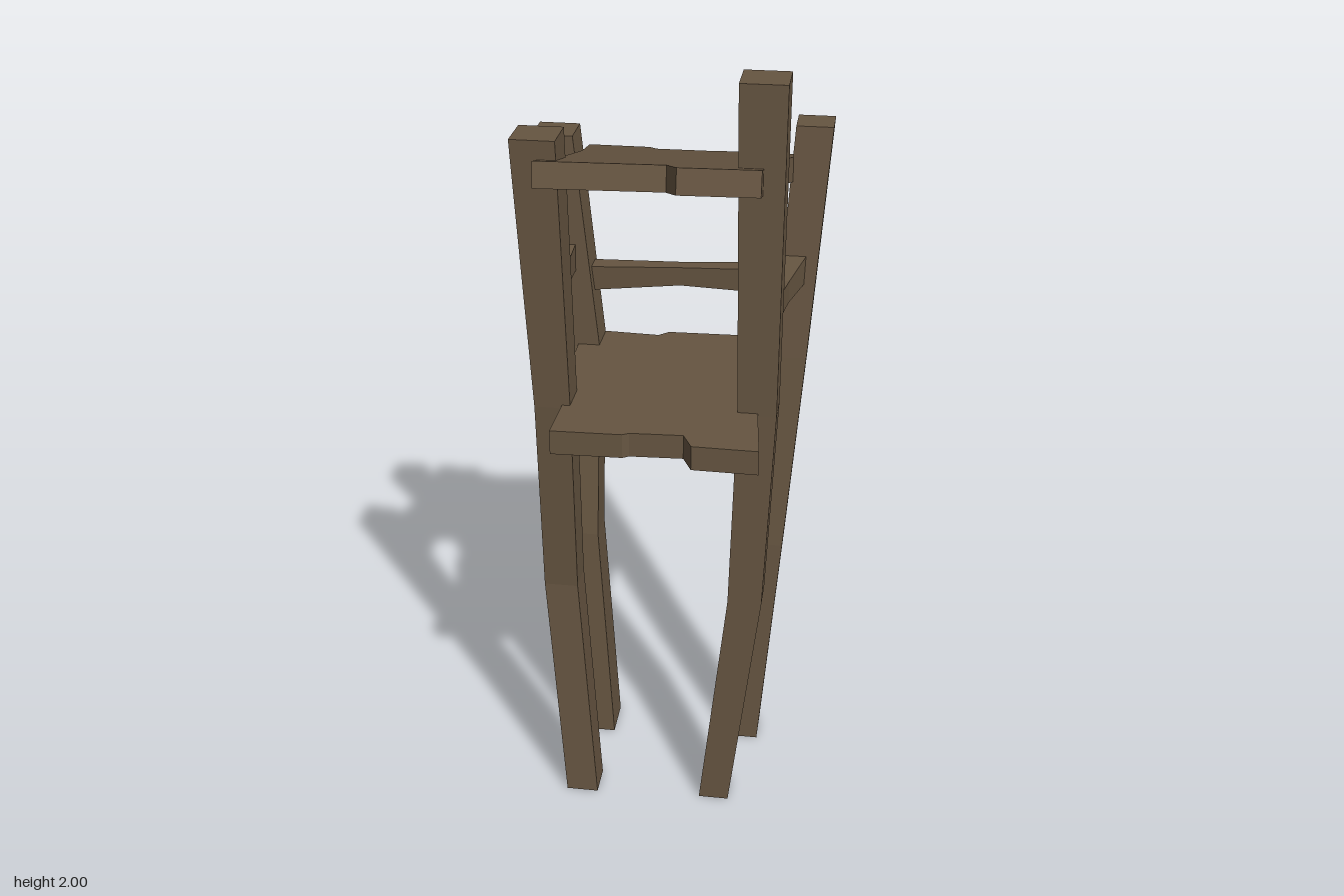
import * as THREE from 'three';

const wood = new THREE.MeshStandardMaterial({ color: 0x665541 });
wood.name = 'weathered brown wood';

function addPart(group, name, geometry) {
  const flat = geometry.index ? geometry.toNonIndexed() : geometry;
  flat.computeVertexNormals();
  const mesh = new THREE.Mesh(flat, wood);
  mesh.name = name;
  group.add(mesh);
}

// Bent beam through stations [x, y, z, width, height, depth]; the size along its axis is 0.
function beam(axis, stations) {
  const n = stations.length - 1;
  const segments = [0, 1, 2].map((i) => (i === axis ? n : 1));
  const geo = new THREE.BoxGeometry(1, 1, 1, ...segments);
  const pos = geo.attributes.position;
  for (let i = 0; i < pos.count; i++) {
    const p = [pos.getX(i), pos.getY(i), pos.getZ(i)];
    const s = stations[Math.round((p[axis] + 0.5) * n)];
    pos.setXYZ(i, ...p.map((c, k) => s[k] + c * s[k + 3]));
  }
  return geo;
}

// Ragged board cut from an [x, z] outline; its top follows y = y0 + slope * z.
function board(outline, thickness, y0, slope) {
  const shape = new THREE.Shape(outline.map(([x, z]) => new THREE.Vector2(x, z)));
  const geo = new THREE.ExtrudeGeometry(shape, { depth: thickness, bevelEnabled: false });
  geo.rotateX(Math.PI / 2);
  const pos = geo.attributes.position;
  for (let i = 0; i < pos.count; i++) {
    const y = pos.getY(i), z = pos.getZ(i);
    pos.setY(i, y + y0 + slope * z);
    pos.setZ(i, z - y * slope);
  }
  return geo;
}

export function createModel() {
  const group = new THREE.Group();
  group.name = 'crookedStand';

  // Four crooked posts, bottom to top: [x, y, z, size]
  const posts = {
    frontRightPost: [[-0.21, 0, 0.185, 0.085], [-0.262, 0.64, 0.123, 0.088], [-0.262, 1.18, 0.147, 0.09], [-0.287, 1.86, 0.137, 0.108]],
    frontLeftPost: [[0.155, 0, 0.17, 0.08], [0.225, 0.64, 0.142, 0.088], [0.242, 1.18, 0.122, 0.096], [0.235, 2, 0.1, 0.112]],
    backRightPost: [[-0.22, 0, -0.095, 0.11], [-0.26, 0.64, -0.142, 0.1], [-0.258, 1.17, -0.232, 0.095], [-0.327, 1.74, -0.268, 0.105]],
    backLeftPost: [[0.21, 0, -0.105, 0.08], [0.257, 0.64, -0.148, 0.086], [0.295, 1.18, -0.215, 0.09], [0.333, 1.78, -0.298, 0.094]],
  };
  for (const [name, rows] of Object.entries(posts)) {
    addPart(group, name, beam(1, rows.map(([x, y, z, s]) => [x, y, z, s, 0, s])));
  }

  // Nearly level lower shelf with notched ends
  const shelf = [
    [-0.24, 0.335], [-0.065, 0.33], [-0.05, 0.32], [0.08, 0.313], [0.105, 0.367], [0.265, 0.37],
    [0.245, 0.18], [0.245, -0.1], [0.265, -0.31], [-0.04, -0.3], [-0.065, -0.275], [-0.27, -0.285],
    [-0.265, -0.04], [-0.235, 0.05],
  ];
  addPart(group, 'lowerShelf', board(shelf, 0.062, 1.183, 0.03));

  // Sloping top board with notched ends
  const top = [
    [-0.28, 0.225], [0.02, 0.17], [0.05, 0.225], [0.24, 0.195], [0.24, -0.05], [0.25, -0.12],
    [0.285, -0.25], [0.3, -0.35], [0.075, -0.34], [0.06, -0.327], [-0.075, -0.32], [-0.1, -0.37],
    [-0.26, -0.37], [-0.237, -0.15], [-0.242, 0.02],
  ];
  addPart(group, 'topBoard', board(top, 0.06, 1.765, 0.26));

  // Thin rails, narrowed in the middle
  addPart(group, 'backRail', beam(0, [
    [-0.27, 1.35, -0.25, 0, 0.068, 0.055], [0, 1.37, -0.245, 0, 0.05, 0.04], [0.3, 1.374, -0.24, 0, 0.07, 0.055],
  ]));
  addPart(group, 'leftRail', beam(2, [
    [0.308, 1.415, -0.25, 0.055, 0.078, 0], [0.275, 1.415, -0.06, 0.04, 0.058, 0], [0.255, 1.43, 0.11, 0.045, 0.066, 0],
  ]));
  addPart(group, 'rightRail', beam(2, [
    [-0.3, 1.42, -0.25, 0.055, 0.075, 0], [-0.287, 1.415, -0.04, 0.034, 0.055, 0], [-0.277, 1.42, 0.13, 0.045, 0.066, 0],
  ]));

  return group;
}
